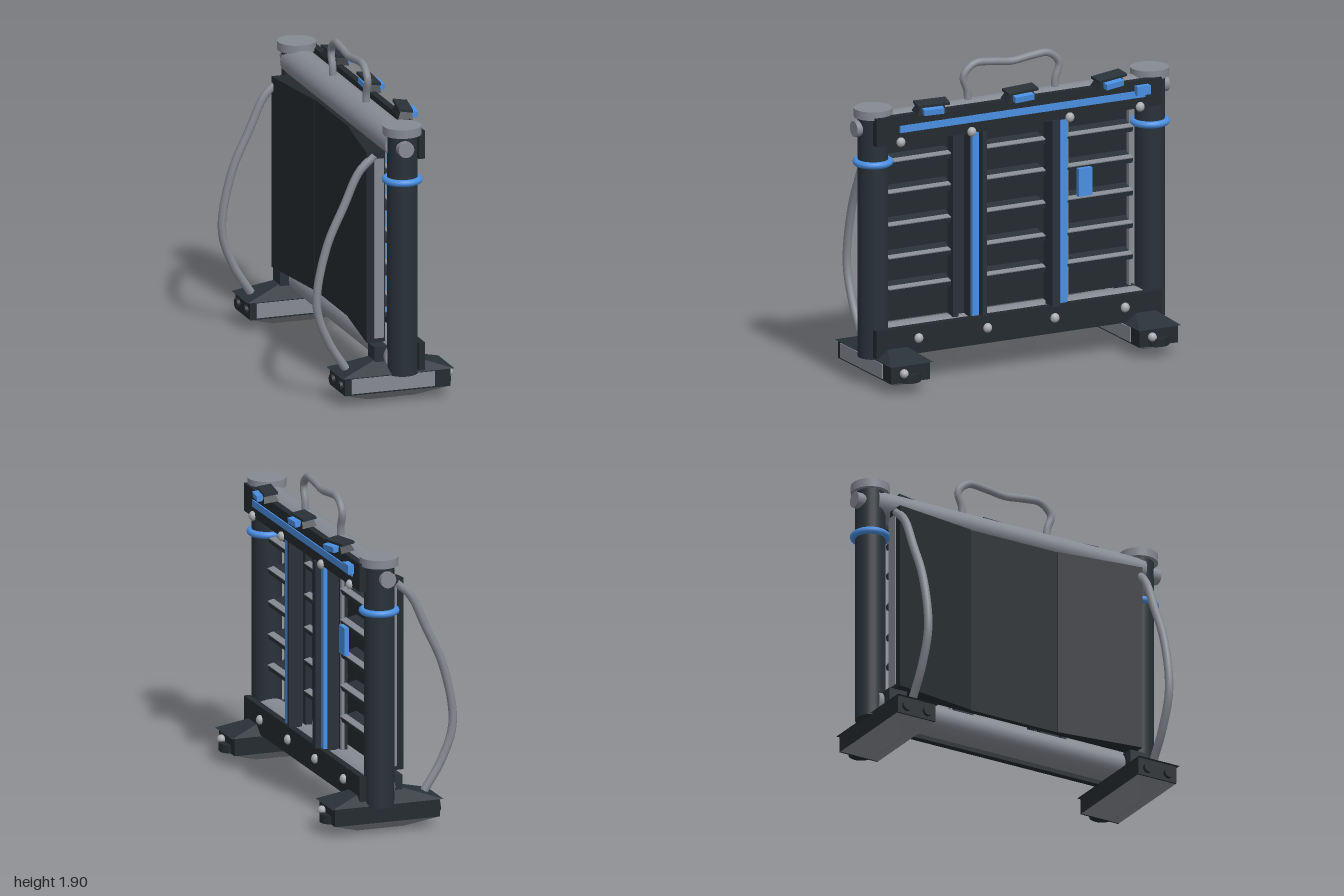
import * as THREE from 'three';

const mat = (name, color) => {
  const m = new THREE.MeshStandardMaterial({ color });
  m.name = name;
  return m;
};

export function createModel() {
  const slate = mat('dark slate', 0x293238);
  const black = mat('near black', 0x242a2f);
  const grey = mat('steel grey', 0x868a92);
  const light = mat('light bolt grey', 0xaaadb1);
  const blue = mat('accent blue', 0x4a8fe2);

  const root = new THREE.Group();
  root.name = 'barrierGate';
  // gate frame: x runs along the gate, z is its louvred front
  const gate = new THREE.Group();
  gate.name = 'gate';
  gate.position.set(0.06, 0, 0.017);
  gate.rotation.y = 1.013;
  root.add(gate);

  const add = (name, geo, m, x = 0, y = 0, z = 0, parent = gate) => {
    const mesh = new THREE.Mesh(geo, m);
    mesh.name = name;
    mesh.position.set(x, y, z);
    parent.add(mesh);
    return mesh;
  };
  const box = (name, w, h, d, m, x, y, z, parent) =>
    add(name, new THREE.BoxGeometry(w, h, d), m, x, y, z, parent);
  const cyl = (name, r, h, m, x, y, z, parent) =>
    add(name, new THREE.CylinderGeometry(r, r, h, 24), m, x, y, z, parent);
  const tube = (name, pts, r, m) =>
    add(name, new THREE.TubeGeometry(
      new THREE.CatmullRomCurve3(pts.map(p => new THREE.Vector3(...p))), 40, r, 10), m);

  // block of size w x h x d whose top face shrinks by kx and kz
  const frustum = (w, d, h, kx, kz) => {
    const g = new THREE.BoxGeometry(w, h, d).toNonIndexed();
    const p = g.attributes.position;
    for (let i = 0; i < p.count; i++)
      if (p.getY(i) > 0) p.setXYZ(i, p.getX(i) * kx, p.getY(i), p.getZ(i) * kz);
    g.computeVertexNormals();
    return g;
  };

  // horizontal beams: round core with a dark front plate and a row of bolts
  const beam = (name, y, bolts, boltY) => {
    const core = cyl(name + 'Core', 1, 1.84, grey, 0, y, 0);
    core.rotation.z = Math.PI / 2;
    core.scale.set(0.088, 1, 0.105);
    box(name + 'Plate', 1.91, 0.17, 0.04, black, -0.016, y, 0.107);
    for (const x of bolts) {
      const b = add(name + 'Bolt', new THREE.SphereGeometry(0.029, 10, 8), light, x, boltY, 0.134);
      b.scale.z = 0.8;
    }
  };
  beam('topBeam', 1.57, [-0.81, -0.336, 0.32, 0.79], 1.495);
  beam('bottomBeam', 0.27, [-0.69, -0.23, 0.22, 0.69], 0.28);
  box('topStripe', 1.64, 0.042, 0.009, blue, 0.005, 1.572, 0.131);
  box('stripeCatch', 0.09, 0.055, 0.04, blue, 0.8, 1.6, 0.145);

  // posts, feet and rear hoses, mirrored on both ends
  for (const s of [-1, 1]) {
    const x = s * 0.925;
    cyl('post', 0.09, 1.48, slate, x, 0.91, 0);
    cyl('postCap', 0.115, 0.052, grey, x, 1.665, 0);
    add('postCollar', new THREE.TorusGeometry(0.1, 0.021, 10, 32), blue, x, 1.36, 0)
      .rotation.x = Math.PI / 2;
    cyl('endKnob', 0.048, 0.08, grey, s * 1.005, 1.57, -0.015).rotation.z = Math.PI / 2;

    const foot = new THREE.Group();
    foot.name = 'foot';
    foot.position.set(s * 0.83, 0, -0.04);
    gate.add(foot);
    box('footBody', 0.26, 0.11, 0.66, black, 0, 0.125, 0, foot);
    add('footTop', frustum(0.28, 0.7, 0.07, 0.35, 0.35), slate, 0, 0.213, 0, foot);
    add('footKeel', frustum(0.26, 0.64, 0.07, 0.06, 0.46), grey, 0, 0.035, 0, foot)
      .rotation.z = Math.PI;
    box('footSidePlate', 0.009, 0.09, 0.52, grey, -0.132, 0.125, -0.03, foot);
    cyl('toePad', 0.075, 0.05, black, 0, 0.095, 0.3, foot);
    add('toeBolt', new THREE.SphereGeometry(0.027, 10, 8), light, -0.05, 0.13, 0.345, foot);
    for (const side of [-1, 1])
      cyl('heelStud', 0.03, 0.03, black, side * 0.07, 0.12, -0.335, foot).rotation.x = Math.PI / 2;
    box('footBracket', 0.12, 0.12, 0.12, slate, s * 0.83, 0.27, -0.1);

    tube('rearHose', [[s * 0.83, 1.49, -0.14], [s * 0.83, 1.4, -0.235], [s * 0.83, 1.2, -0.33],
      [s * 0.83, 0.95, -0.44], [s * 0.83, 0.6, -0.5], [s * 0.83, 0.38, -0.43],
      [s * 0.83, 0.2, -0.32]], 0.025, grey);

    // wedge-shaped back panel, deepening toward the post
    const wedge = new THREE.Shape([[0.3, 0.075], [0.835, 0.075], [0.835, 0.19], [0.3, 0.115]]
      .map(([px, py]) => new THREE.Vector2(s * px, py)));
    add('sideBackPanel', new THREE.ExtrudeGeometry(wedge, { depth: 1.17, bevelEnabled: false })
      .rotateX(-Math.PI / 2), black, 0, 0.345, 0);
    box('panelEndTrim', 0.009, 1.1, 0.06, grey, s * 0.839, 0.92, -0.115);
  }
  box('middleBackPanel', 0.61, 1.17, 0.035, black, 0, 0.93, -0.092);
  box('bayTrim', 0.015, 1.12, 0.03, grey, 0.81, 0.92, -0.045);

  // uprights: blue strips with dark rails on either side
  for (const c of [-0.3, 0.29]) {
    box('uprightCore', 0.13, 1.14, 0.04, slate, c, 0.92, 0);
    box('uprightWeb', 0.05, 1.14, 0.08, slate, c, 0.92, 0.05);
    box('uprightStripe', 0.045, 1.12, 0.028, blue, c, 0.92, 0.102);
  }
  box('rail', 0.035, 1.14, 0.07, slate, -0.4, 0.92, 0.02);
  box('rail', 0.03, 1.14, 0.08, slate, -0.245, 0.92, 0.085);
  box('rail', 0.05, 1.14, 0.09, slate, 0.225, 0.92, 0.098);
  box('railTrim', 0.02, 1.12, 0.02, grey, 0.36, 0.92, 0.015);

  // louvre slats in three bays, dark blades with a pale front lip
  for (const [c, w] of [[-0.62, 0.43], [-0.01, 0.45], [0.58, 0.44]]) {
    for (const y of [0.575, 0.765, 0.965, 1.165, 1.355]) {
      const slat = new THREE.Group();
      slat.name = 'louvreSlat';
      slat.position.set(c, y, -0.03);
      slat.rotation.x = 0.25;
      gate.add(slat);
      box('slatBlade', w, 0.03, 0.12, slate, 0, -0.012, 0, slat);
      box('slatLip', w, 0.006, 0.04, grey, 0, 0.006, 0.04, slat);
    }
  }
  box('controlBox', 0.09, 0.17, 0.03, blue, 0.465, 1.06, 0.045);

  // three latches on the top front edge
  for (const [i, x] of [-0.595, 0, 0.595].entries()) {
    const latch = new THREE.Group();
    latch.name = 'latch';
    latch.position.set(x - 0.012, 1.675, 0.12);
    latch.rotation.set(0.15, (i - 1) * 0.15, 0.05);
    gate.add(latch);
    add('latchBody', frustum(0.2, 0.09, 0.045, 0.75, 0.75), black, 0, 0, 0, latch);
    box('latchLid', 0.2, 0.016, 0.085, slate, 0.01, 0.03, -0.005, latch);
    box('latchTab', 0.125, 0.036, 0.045, blue, 0, 0.004, 0.052, latch);
    if (i === 1) box('latchRearTab', 0.1, 0.03, 0.02, blue, 0, 0.004, -0.045, latch);
  }

  // carrying handle
  tube('handle', [[-0.29, 1.64, 0], [-0.295, 1.71, 0], [-0.32, 1.8, 0], [-0.25, 1.868, 0],
    [-0.13, 1.865, 0], [0, 1.85, 0], [0.13, 1.865, 0], [0.25, 1.868, 0], [0.32, 1.8, 0],
    [0.295, 1.71, 0], [0.29, 1.64, 0]], 0.023, grey);

  return root;
}
